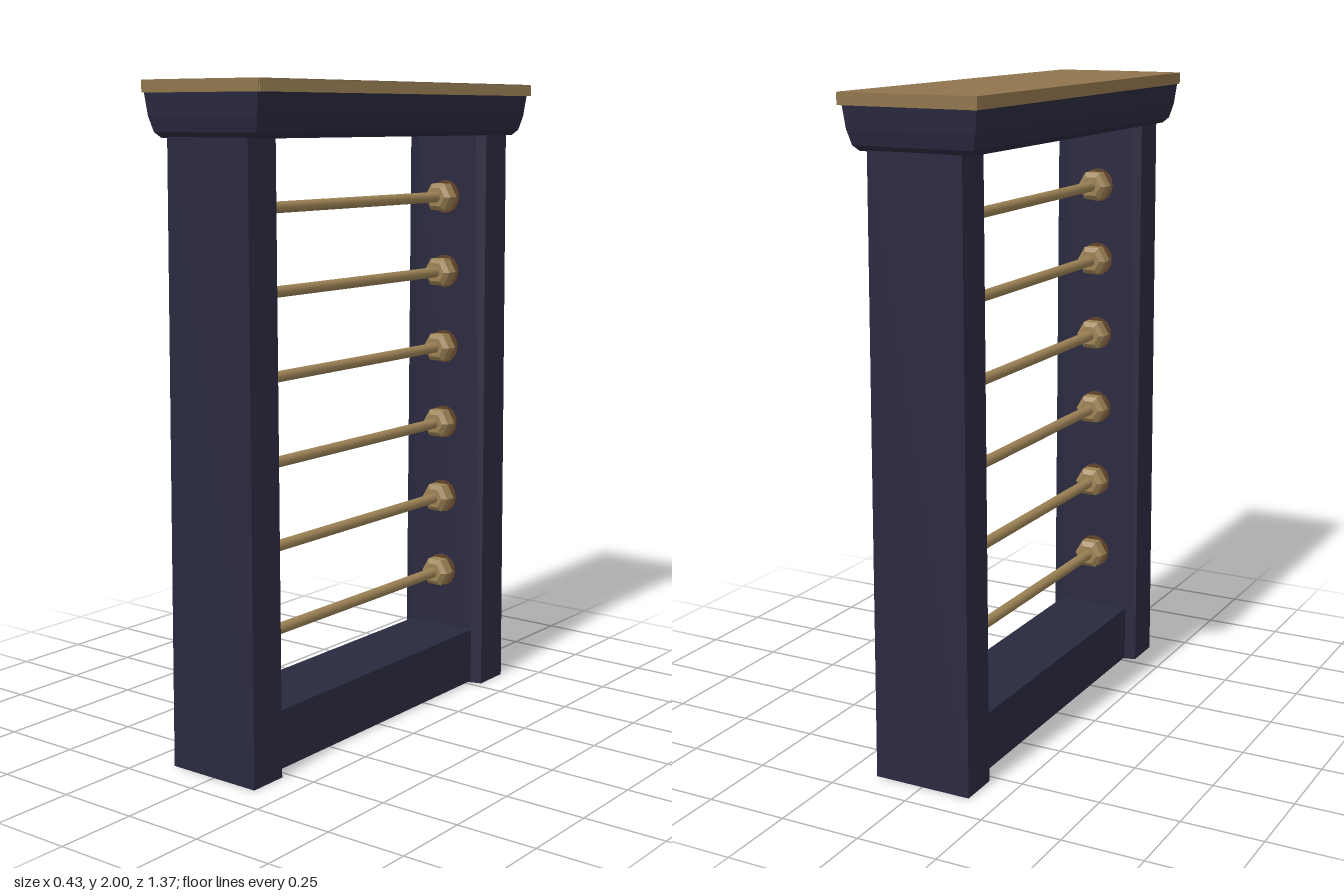
import * as THREE from 'three';

export function createModel() {
  const makeMaterial = (name, color) => {
    const material = new THREE.MeshStandardMaterial({ color });
    material.name = name;
    return material;
  };
  const navy = makeMaterial('navy paint', 0x29293f);
  const bronze = makeMaterial('bronze', 0x8f754c);
  const lightBronze = makeMaterial('light bronze', 0x9c8255);
  const darkBronze = makeMaterial('dark bronze', 0x5f4229);

  const model = new THREE.Group();
  model.name = 'railingFrame';
  const add = (parent, name, geometry, material, x = 0, y = 0, z = 0) => {
    const mesh = new THREE.Mesh(geometry, material);
    mesh.name = name;
    mesh.position.set(x, y, z);
    parent.add(mesh);
    return mesh;
  };

  // Extrude an outline given as [x, z] points upward from y = 0
  const extrudeUp = (points, height) => {
    const shape = new THREE.Shape(points.map(([x, z]) => new THREE.Vector2(x, -z)));
    const g = new THREE.ExtrudeGeometry(shape, { depth: height, bevelEnabled: false });
    return g.rotateX(-Math.PI / 2);
  };

  // Post with lightly chamfered inner corners, slightly wider at the foot
  const post = extrudeUp([
    [-0.148, 0.645], [0.148, 0.645], [0.148, 0.528], [0.115, 0.517],
    [-0.115, 0.517], [-0.148, 0.528],
  ], 1.85);
  const p = post.attributes.position;
  for (let i = 0; i < p.count; i++) {
    if (p.getY(i) < 0.01) {
      p.setX(i, p.getX(i) * 1.05);
      if (p.getZ(i) > 0.6) p.setZ(i, 0.653);
    }
  }
  post.computeVertexNormals();
  add(model, 'frontPost', post, navy);
  add(model, 'backPost', post, navy).rotation.y = Math.PI;

  // Bottom beam between the posts
  add(model, 'bottomBeam', new THREE.BoxGeometry(0.24, 0.18, 1.06), navy, 0, 0.095, 0);

  // Flared head under the top board: stacked rectangles [y, half x, half z]
  const rings = [[1.84, 0.172, 0.643], [1.856, 0.188, 0.656], [1.9, 0.2, 0.666], [1.968, 0.208, 0.673]];
  const corners = [[-1, 1], [1, 1], [1, -1], [-1, -1]];
  const point = (r, c) => [corners[c % 4][0] * rings[r][1], rings[r][0], corners[c % 4][1] * rings[r][2]];
  const verts = [];
  const quad = (a, b, c, d) => verts.push(...a, ...b, ...c, ...a, ...c, ...d);
  for (let r = 0; r < rings.length - 1; r++) {
    for (let c = 0; c < 4; c++) quad(point(r, c), point(r, c + 1), point(r + 1, c + 1), point(r + 1, c));
  }
  quad(point(0, 3), point(0, 2), point(0, 1), point(0, 0));
  const top = rings.length - 1;
  quad(point(top, 0), point(top, 1), point(top, 2), point(top, 3));
  const head = new THREE.BufferGeometry();
  head.setAttribute('position', new THREE.Float32BufferAttribute(verts, 3));
  head.computeVertexNormals();
  add(model, 'flaredHead', head, navy);

  // Top board with a gently bowed front end and a paler strip along its left edge
  add(model, 'topBoard', extrudeUp([
    [-0.216, 0.674], [-0.1, 0.682], [0, 0.685], [0.1, 0.682], [0.213, 0.674],
    [0.213, -0.685], [-0.216, -0.685],
  ], 0.036), bronze, 0, 1.964, 0);
  add(model, 'boardEdge', new THREE.BoxGeometry(0.004, 0.034, 1.358), lightBronze, 0.214, 1.981, -0.006);

  // Six rods, each held by a hexagonal fitting and a thin dark washer at both ends
  const rod = new THREE.CylinderGeometry(0.017, 0.017, 1.0, 12).rotateX(Math.PI / 2);
  const profile = [[0, 0.458], [0.034, 0.458], [0.05, 0.47], [0.05, 0.505], [0.042, 0.52]];
  const nut = new THREE.LatheGeometry(
    profile.map(([r, z]) => new THREE.Vector2(r, z)), 6, Math.PI / 6,
  ).rotateX(Math.PI / 2).toNonIndexed();
  nut.computeVertexNormals();
  const washer = new THREE.CylinderGeometry(0.054, 0.054, 0.008, 16).rotateX(Math.PI / 2);
  [0.378, 0.635, 0.89, 1.145, 1.395, 1.64].forEach((y, i) => {
    const rail = new THREE.Group();
    rail.name = `rail${i + 1}`;
    rail.position.y = y;
    add(rail, 'rod', rod, lightBronze);
    for (const s of [1, -1]) {
      const end = new THREE.Group();
      end.name = s > 0 ? 'frontFitting' : 'backFitting';
      if (s < 0) end.rotation.y = Math.PI;
      add(end, 'nut', nut, lightBronze);
      add(end, 'washer', washer, darkBronze, 0, 0, 0.517);
      rail.add(end);
    }
    model.add(rail);
  });

  return model;
}
